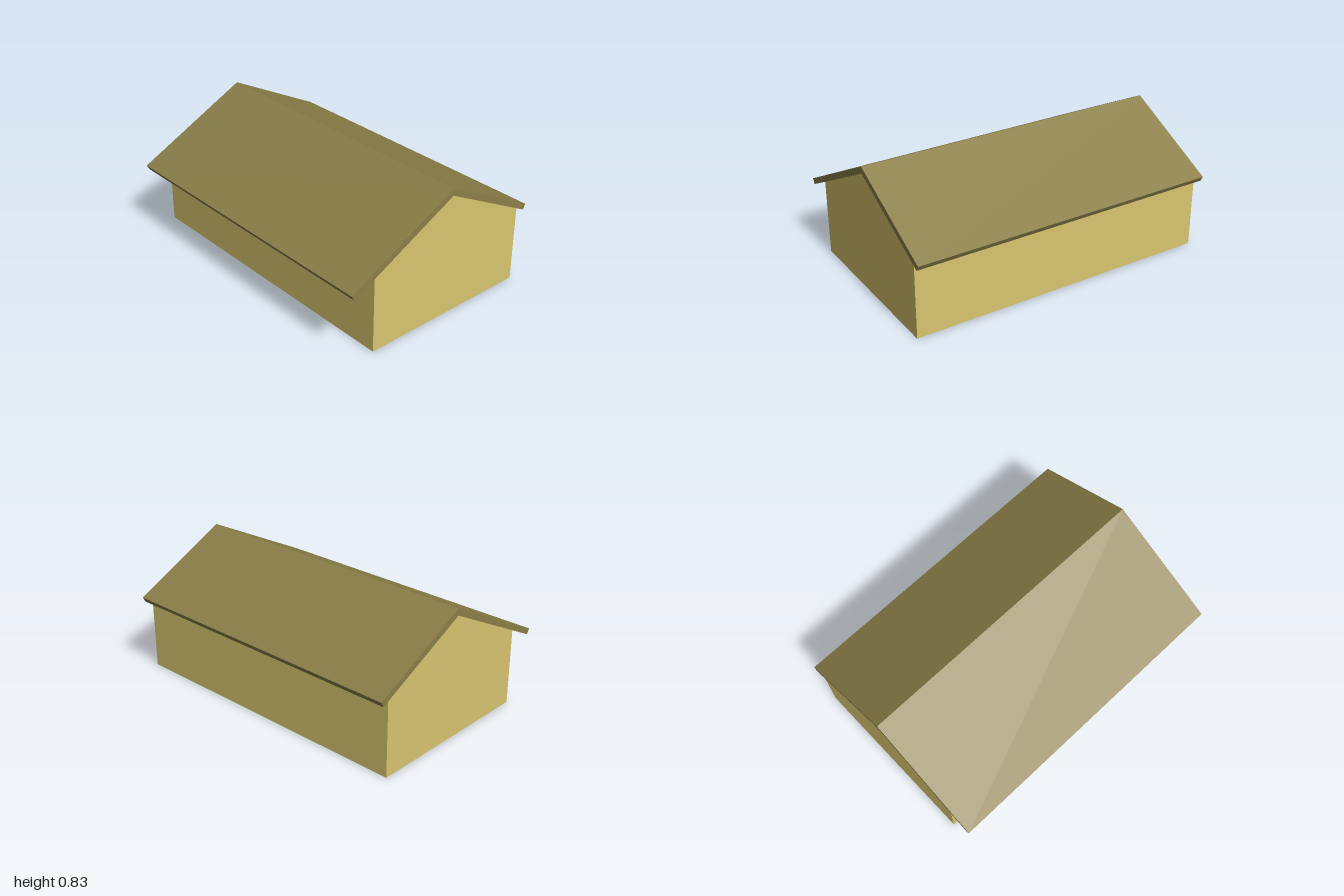
import * as THREE from 'three';

// Extrudes an x-y outline along z, centred on z = 0
function prism(name, points, length, color) {
  const shape = new THREE.Shape(points.map(([x, y]) => new THREE.Vector2(x, y)));
  const geometry = new THREE.ExtrudeGeometry(shape, { depth: length, bevelEnabled: false });
  geometry.translate(0, 0, -length / 2);
  const mesh = new THREE.Mesh(geometry, new THREE.MeshStandardMaterial({ color, flatShading: true }));
  mesh.name = name;
  return mesh;
}

export function createModel() {
  const model = new THREE.Group();
  model.name = 'gabledBuilding';

  const left = -0.525, right = 0.626, ridge = 0.05;
  const wallLength = 1.98;

  // Gabled body, its bottom just above the floor sheet
  model.add(prism('walls', [
    [left, 0.001], [right, 0.001], [right, 0.493], [ridge, 0.785], [left, 0.493],
  ], wallLength, 0xd9c570));

  // Roof slab bent at the ridge, with a longer overhang on the -x side
  model.add(prism('roof', [
    [-0.678, 0.414], [ridge, 0.785], [0.676, 0.468],
    [0.694, 0.501], [ridge, 0.829], [-0.697, 0.447],
  ], 2, 0x8b7f48));

  // Floor facing down
  const floor = new THREE.Mesh(
    new THREE.PlaneGeometry(right - left, wallLength).rotateX(Math.PI / 2),
    new THREE.MeshStandardMaterial({ color: 0x777777 }),
  );
  floor.name = 'floor';
  floor.position.x = (left + right) / 2;
  model.add(floor);

  return model;
}
